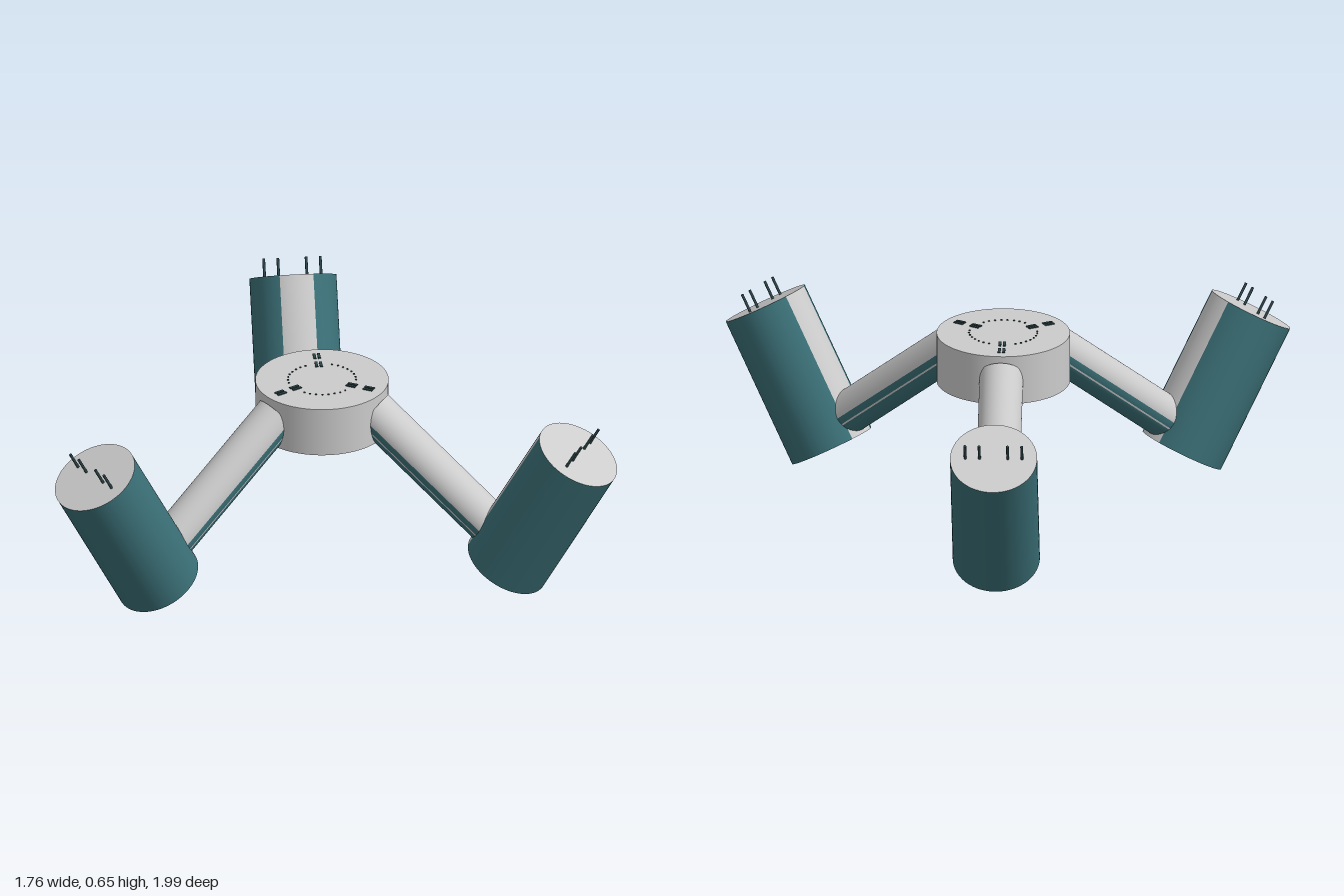
import * as THREE from 'three';

const grey = new THREE.MeshStandardMaterial({ color: 0xcccccc });
const teal = new THREE.MeshStandardMaterial({ color: 0x3a6f76 });
const dark = new THREE.MeshStandardMaterial({ color: 0x2c4448 });

function add(parent, name, geometry, material, x = 0, y = 0, z = 0) {
  const mesh = new THREE.Mesh(geometry, material);
  mesh.name = name;
  mesh.position.set(x, y, z);
  parent.add(mesh);
  return mesh;
}

// Cylinder wall painted in strips: each band is [start, end, material], with a disc on each end
function paintedCylinder(parent, name, r, h, bands, topMaterial, bottomMaterial) {
  for (const [a, b, material] of bands) {
    const segments = Math.max(2, Math.ceil((b - a) / 0.1));
    add(parent, name + 'Wall', new THREE.CylinderGeometry(r, r, h, segments, 1, true, a, b - a), material);
  }
  const disc = new THREE.CircleGeometry(r, 64);
  add(parent, name + 'Top', disc, topMaterial, 0, h / 2).rotation.x = -Math.PI / 2;
  add(parent, name + 'Bottom', disc, bottomMaterial, 0, -h / 2).rotation.x = Math.PI / 2;
}

// One leg, running outward along +x from the hub axis
function createLeg() {
  const PI = Math.PI;
  const leg = new THREE.Group();
  leg.name = 'leg';

  // Sloping arm: grey above, teal beneath with two thin grey pinstripes
  const arm = new THREE.Group();
  arm.name = 'arm';
  const dx = 0.547, dy = 0.432;
  arm.position.set(0.47, 0.356, 0);
  arm.rotation.z = Math.atan2(dx, dy);
  paintedCylinder(arm, 'arm', 0.077, Math.hypot(dx, dy), [
    [0, PI, grey],
    [PI, PI + 0.32, teal],
    [PI + 0.32, PI + 0.4, grey],
    [PI + 0.4, 2 * PI - 0.4, teal],
    [2 * PI - 0.4, 2 * PI - 0.32, grey],
    [2 * PI - 0.32, 2 * PI, teal],
  ], grey, teal);
  leg.add(arm);

  // Outward-leaning drum with a grey strip facing the hub
  const drum = new THREE.Group();
  drum.name = 'drum';
  const length = 0.555;
  drum.position.set(0.85, 0.32, 0);
  drum.rotation.z = -Math.atan2(0.275, 0.48);
  paintedCylinder(drum, 'drum', 0.1535, length, [
    [-PI / 2 + 0.4, 1.5 * PI - 0.4, teal],
    [1.5 * PI - 0.4, 1.5 * PI + 0.4, grey],
  ], grey, teal);
  leg.add(drum);

  // Four thin pins on the drum's upper face
  for (const z of [-0.1, -0.05, 0.05, 0.1]) {
    add(drum, 'pin', new THREE.CylinderGeometry(0.005, 0.005, 0.07, 10), dark, 0, length / 2 + 0.033, z);
  }

  // Two pairs of small raised contacts on the hub's top
  for (const x of [0.115, 0.18]) {
    for (const z of [-0.008, 0.008]) {
      add(leg, 'contact', new THREE.BoxGeometry(0.036, 0.006, 0.01), dark, x, 0.654, z);
    }
  }

  // Arc of tiny studs between this leg's contacts and the next
  for (let i = 0; i < 8; i++) {
    const a = 0.4 + i * 0.185;
    add(leg, 'stud', new THREE.CylinderGeometry(0.0035, 0.0035, 0.004, 8), dark,
      0.12 * Math.cos(a), 0.654, 0.12 * Math.sin(a));
  }
  return leg;
}

export function createModel() {
  const model = new THREE.Group();
  model.name = 'tripod';

  const body = new THREE.Group();
  body.name = 'body';
  body.position.x = 0.238;
  model.add(body);

  // Central round hub
  add(body, 'hub', new THREE.CylinderGeometry(0.235, 0.235, 0.18, 64), grey, 0, 0.563, 0);

  // Three legs, evenly spread
  for (const angle of [Math.PI, Math.PI / 3, -Math.PI / 3]) {
    const leg = createLeg();
    leg.rotation.y = angle;
    body.add(leg);
  }
  return model;
}
